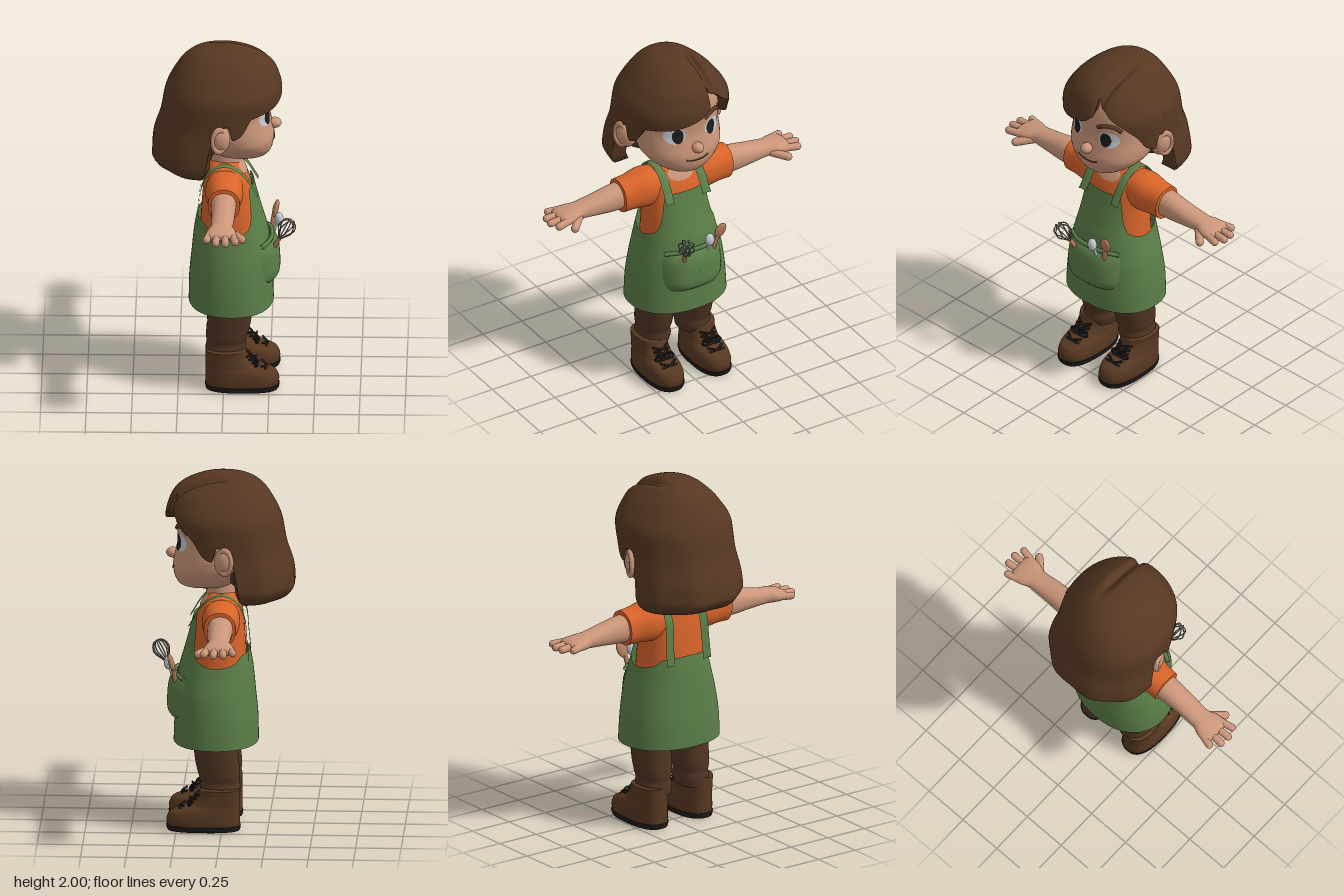
import * as THREE from 'three';
import { ParametricGeometry } from 'three/addons/geometries/ParametricGeometry.js';

const mat = (name, color) => Object.assign(new THREE.MeshStandardMaterial({ color, side: THREE.DoubleSide }), { name });
const V = (x, y, z) => new THREE.Vector3(x, y, z);
const spow = (v, e) => Math.sign(v) * Math.pow(Math.abs(v), e);

// Smooth monotone interpolation through rows [key, ...values], keys ascending.
function prof(rows, k) {
  const n = rows.length;
  let i = 0;
  while (i < n - 2 && k > rows[i + 1][0]) i++;
  const h = rows[i + 1][0] - rows[i][0], t = Math.min(1, Math.max(0, (k - rows[i][0]) / h));
  const slope = (j, c) => (rows[j + 1][c] - rows[j][c]) / (rows[j + 1][0] - rows[j][0]);
  const tangent = (j, c) => {
    if (j === 0) return slope(0, c);
    if (j === n - 1) return slope(n - 2, c);
    const a = slope(j - 1, c), b = slope(j, c);
    return a * b <= 0 ? 0 : 2 * a * b / (a + b);
  };
  return rows[i].slice(1).map((p, c0) => {
    const c = c0 + 1, t2 = t * t, t3 = t2 * t;
    return p * (2 * t3 - 3 * t2 + 1) + rows[i + 1][c] * (3 * t2 - 2 * t3)
      + h * (tangent(i, c) * (t3 - 2 * t2 + t) + tangent(i + 1, c) * (t3 - t2));
  });
}

// Cross-section values are half width, front z, back z.
function ring(p, a, e, y, out) {
  const [w, f, b] = p;
  return out.set(w * spow(Math.sin(a), e), y, (f + b) / 2 + (f - b) / 2 * spow(Math.cos(a), e));
}
// Lofted skin through the rows, optionally cut off at a height given per angle.
function loft(rows, { e = 0.9, top, slices = 40, stacks = 40 } = {}) {
  return new ParametricGeometry((u, v, out) => {
    const a = (u * 2 - 1) * Math.PI, n = rows.length - 1, i = Math.min(n - 1, Math.floor(v * n));
    const y = top ? rows[0][0] + (top(a) - rows[0][0]) * v
      : rows[i][0] + (rows[i + 1][0] - rows[i][0]) * (v * n - i);
    ring(prof(rows, y), a, e, y, out);
  }, slices, stacks);
}
// Front surface z of a loft at x, y.
function frontZ(rows, x, y, e = 0.9) {
  const [w, f, b] = prof(rows, y), s = Math.min(1, Math.abs(x) / w);
  return (f + b) / 2 + (f - b) / 2 * Math.pow(1 - Math.pow(s, 2 / e), e / 2);
}
// Rounded patch lying on the front of a loft.
function patch(rows, cx, cy, rx, ry, off, e = 1, bulge = 0) {
  return new ParametricGeometry((u, v, out) => {
    const r = 1 - v * 0.99, t = u * Math.PI * 2;
    const x = cx + rx * r * spow(Math.cos(t), e), y = cy + ry * r * spow(Math.sin(t), e);
    out.set(x, y, frontZ(rows, x, y) + off + bulge * (1 - Math.pow(r, 5)));
  }, 40, 14);
}
const tube = (pts, r, closed = false) =>
  new THREE.TubeGeometry(new THREE.CatmullRomCurve3(pts, closed), 28, r, 8, closed);
const onFace = (rows, pts, off) => pts.map(([x, y]) => V(x, y, frontZ(rows, x, y) + off));

const HEAD = [[1.345, .03, .13, .04], [1.355, .09, .215, -.02], [1.38, .14, .25, -.06], [1.43, .2, .27, -.1],
  [1.48, .23, .275, -.13], [1.55, .24, .262, -.17], [1.62, .24, .25, -.2], [1.72, .24, .255, -.22],
  [1.85, .2, .23, -.2], [1.94, .02, .02, -.02]];
const TORSO = [[.8, .2, .2, -.14], [.95, .19, .19, -.13], [1.1, .185, .165, -.12], [1.2, .19, .14, -.11],
  [1.26, .18, .115, -.1], [1.3, .13, .09, -.08], [1.325, .08, .075, -.06]];
const APRON = [[.48, .29, .272, -.195], [.6, .283, .268, -.193], [.75, .262, .262, -.18], [.9, .225, .24, -.165],
  [1, .205, .212, -.148], [1.1, .2, .185, -.135], [1.2, .2, .16, -.122]];
// Hair rows are keyed by the root of the distance below the crown, which rounds the dome.
const HAIR = [[2, .001, .011, .009], [1.98, .11, .13, -.14], [1.93, .18, .235, -.22], [1.86, .245, .29, -.27],
  [1.74, .308, .318, -.325], [1.6, .312, .3, -.352], [1.45, .33, .28, -.395], [1.38, .335, .28, -.4],
  [1.33, .315, .26, -.37], [1.29, .28, .22, -.33]].map(([y, ...r]) => [Math.sqrt(2 - y), ...r]);
// Lower edges by angle in degrees, 0 at the front.
const HEM = [[-180, 1.32], [-104, 1.31], [-97, 1.34], [-92, 1.6], [-84, 1.64], [-76, 1.56], [-68, 1.58], [-60, 1.67],
  [-25, 1.695], [0, 1.735], [12, 1.8], [19, 1.91], [24, 1.87], [32, 1.8], [48, 1.73], [60, 1.66],
  [68, 1.58], [76, 1.56], [84, 1.64], [92, 1.6], [97, 1.34], [104, 1.31], [180, 1.32]];
const BIB = [[0, 1.19], [35, 1.19], [39, 1.16], [48, 1.04], [60, .965], [90, .93], [120, .95], [140, .99], [180, 1]];

function hairGeometry() {
  return new ParametricGeometry((u, v, out) => {
    const a = (u * 2 - 1) * Math.PI, hem = prof(HEM, a * 180 / Math.PI)[0];
    const t = Math.max(0, (v - .1) / .9), lip = Math.max(0, 1 - v / .1);
    const q = Math.sqrt(2 - hem) * (1 - t);
    ring(prof(HAIR, q), a, .93, 2 - q * q, out);
    const low = THREE.MathUtils.smoothstep(q, .45, .8);
    const s = (1 - .25 * lip) * (1 + .014 * low * Math.cos(9 * a));
    out.x *= s; out.z *= s;
    out.y += .025 * lip;
    // Parting groove
    out.y -= .04 * Math.exp(-(((out.x - .09) / .025) ** 2)) * THREE.MathUtils.smoothstep(out.z, -.12, .1);
  }, 180, 64);
}

export function createModel() {
  const skin = mat('skin', 0xcb967a), hair = mat('hair brown', 0x573822), orange = mat('shirt orange', 0xd9642a),
    green = mat('apron green', 0x5b7e48), pants = mat('trouser brown', 0x4f3422), leather = mat('boot brown', 0x573821),
    black = mat('black', 0x1e1c1c), pale = mat('pale grey', 0xc3ccd2), steel = mat('steel', 0x85857f), wood = mat('wood', 0xb9805f);
  const body = new THREE.Group();
  body.name = 'cook';
  const add = (parent, name, geo, m, pos, scale) => {
    const mesh = new THREE.Mesh(geo, m);
    mesh.name = name;
    if (pos) mesh.position.set(...pos);
    if (scale) mesh.scale.set(...scale);
    parent.add(mesh);
    return mesh;
  };
  const ball = new THREE.SphereGeometry(1, 28, 20);
  const capsule = (parent, name, a, b, r, m) => {
    const d = b.clone().sub(a), mesh = add(parent, name, new THREE.CapsuleGeometry(r, d.length(), 6, 14), m);
    mesh.position.copy(a).addScaledVector(d, .5);
    mesh.quaternion.setFromUnitVectors(V(0, 1, 0), d.normalize());
    return mesh;
  };

  // Head and hair
  add(body, 'head', loft(HEAD), skin);
  add(body, 'neck', new THREE.CylinderGeometry(.075, .085, .16, 28), skin, [0, 1.34, .01]);
  add(body, 'nose', ball, skin, [0, 1.535, .277], [.033, .03, .037]);
  add(body, 'mouth', tube(onFace(HEAD, [[-.07, 1.467], [-.035, 1.457], [0, 1.455], [.035, 1.457], [.07, 1.467]], .001), .004), hair);
  add(body, 'hair', hairGeometry(), hair);
  add(body, 'innerHair', ball, hair, [0, 1.5, -.17], [.25, .18, .18]);

  // Torso, apron and pocket
  add(body, 'shirt', loft(TORSO), orange);
  add(body, 'neckline', patch(TORSO, 0, 1.28, .08, .04, .004), skin);
  add(body, 'apron', loft(APRON, { slices: 96, top: a => prof(BIB, Math.abs(a) * 180 / Math.PI)[0] }), green);
  add(body, 'pocket', patch(APRON, 0, .743, .187, .127, .004, .5, .04), green);
  add(body, 'pocketRim', tube(onFace(APRON, [[-.175, .855], [-.09, .864], [0, .866], [.09, .864], [.175, .855]], .018), .012), green);
  add(body, 'hips', ball, pants, [0, .62, .03], [.235, .13, .18]);

  // Parts that exist on both sides
  const side = new THREE.Group();
  side.name = 'leftSide';
  add(side, 'eyeWhite', patch(HEAD, .118, 1.622, .056, .05, .003), pale);
  add(side, 'pupil', patch(HEAD, .105, 1.62, .031, .045, .006), black);
  add(side, 'eyebrow', tube(onFace(HEAD, [[.06, 1.692], [.1, 1.712], [.145, 1.712], [.18, 1.685]], .002), .012), hair);
  const ear = add(side, 'ear', ball, skin, [.277, 1.56, -.022], [.055, .086, .06]);
  ear.rotation.z = -.12;
  const rim = add(side, 'earRim', new THREE.TorusGeometry(.05, .014, 10, 28), skin, [.312, 1.565, -.022], [.8, 1.3, 1]);
  rim.rotation.y = 1.2;

  // Shoulder strap
  const strap = new THREE.CatmullRomCurve3([V(.118, 1.15, .185), V(.116, 1.19, .162), V(.115, 1.25, .125), V(.112, 1.3, .075),
    V(.112, 1.326, 0), V(.112, 1.29, -.075), V(.115, 1.2, -.122), V(.12, 1.08, -.135), V(.125, .96, -.147)]);
  add(side, 'strap', new ParametricGeometry((u, v, out) => {
    strap.getPoint(v, out);
    out.x += (u - .5) * .052;
    out.y -= .02 * Math.pow(u - .5, 2);
  }, 4, 40), green);

  // Arm, lofted along its length and laid sideways
  const arm = new THREE.Group();
  arm.name = 'arm';
  arm.position.y = 1.205;
  arm.rotation.z = -.05;
  side.add(arm);
  add(arm, 'sleeve', loft([[.08, .09, .1, -.09], [.19, .112, .108, -.1], [.29, .1, .095, -.086], [.345, .098, .092, -.084],
    [.348, .07, .065, -.06]]).rotateZ(-Math.PI / 2), orange);
  add(arm, 'forearmAndPalm', loft([[.3, .08, .074, -.07], [.4, .073, .07, -.066], [.5, .058, .064, -.063], [.6, .044, .056, -.063],
    [.66, .038, .075, -.085], [.71, .03, .08, -.092], [.735, .018, .06, -.07], [.74, .002, .01, -.02]]).rotateZ(-Math.PI / 2), skin);
  for (const [z0, z1, tip] of [[-.068, -.085, .745], [-.028, -.034, .785], [.015, .02, .79], [.054, .074, .77]])
    capsule(arm, 'finger', V(.68, 0, z0), V(tip, 0, z1), .021, skin);
  capsule(arm, 'thumb', V(.62, -.012, .04), V(.69, -.025, .108), .023, skin);

  // Leg and boot
  add(side, 'trouserLeg', loft([[.19, .083, .105, -.098], [.24, .092, .12, -.1], [.27, .087, .118, -.095], [.31, .094, .13, -.098],
    [.4, .1, .15, -.09], [.62, .105, .17, -.08]]), pants, [.127, 0, 0]);
  const boot = new THREE.Group();
  boot.name = 'boot';
  boot.position.x = .152;
  side.add(boot);
  add(boot, 'sole', loft([[0, .01, .11, .09], [.003, .094, .298, -.098], [.032, .101, .307, -.103], [.035, .07, .25, -.05]], { e: .78 }), black);
  add(boot, 'bootUpper', loft([[.03, .097, .3, -.1], [.06, .1, .305, -.1], [.1, .097, .29, -.1], [.125, .092, .24, -.1],
    [.145, .087, .18, -.1], [.2, .086, .13, -.1], [.235, .088, .12, -.1], [.243, .06, .09, -.06]], { e: .8 }), leather);
  [[.125, .225], [.145, .18], [.165, .158], [.185, .143]].forEach(([y, z], i) => {
    for (const s of [-1, 1])
      add(boot, 'lace', tube([V(-.048 * s, y, z), V(0, y + .01, z + .008), V(.048 * s, y + .02, z - .018)], .006), black);
    if (i === 2) for (const s of [-1, 1])
      add(boot, 'laceBow', tube([V(0, y, z + .01), V(.035 * s, y + .012, z + .02), V(.06 * s, y - .01, z + .015), V(.03 * s, y - .02, z + .02)], .005, true), black);
  });
  body.add(side);
  const other = side.clone();
  other.name = 'rightSide';
  other.scale.x = -1;
  body.add(other);

  // Whisk
  const whisk = new THREE.Group();
  whisk.name = 'whisk';
  whisk.position.set(-.095, .86, .295);
  whisk.rotation.set(.5, 0, .2);
  add(whisk, 'whiskHandle', new THREE.CylinderGeometry(.012, .012, .07, 14), wood, [0, -.01, 0]);
  for (let i = 0; i < 4; i++)
    add(whisk, 'whiskWire', tube([V(0, .02, 0), V(.025, .06, 0), V(.046, .105, 0), V(.03, .148, 0), V(0, .158, 0),
      V(-.03, .148, 0), V(-.046, .105, 0), V(-.025, .06, 0)], .0035, true), steel).rotation.y = i * Math.PI / 4;
  body.add(whisk);

  // Spoons
  capsule(body, 'metalSpoonHandle', V(.07, .82, .265), V(.064, .91, .295), .008, pale);
  add(body, 'metalSpoonBowl', ball, pale, [.062, .922, .3], [.027, .038, .024]);
  capsule(body, 'woodenSpoonHandle', V(.112, .82, .255), V(.13, .92, .272), .013, wood);
  const bowl = add(body, 'woodenSpoonBowl', ball, wood, [.143, .945, .28], [.034, .052, .016]);
  bowl.rotation.set(.25, 0, -.25);

  // The figure faces along +x
  body.rotation.y = Math.PI / 2;
  const model = new THREE.Group();
  model.name = 'cookFigure';
  model.add(body);
  return model;
}
